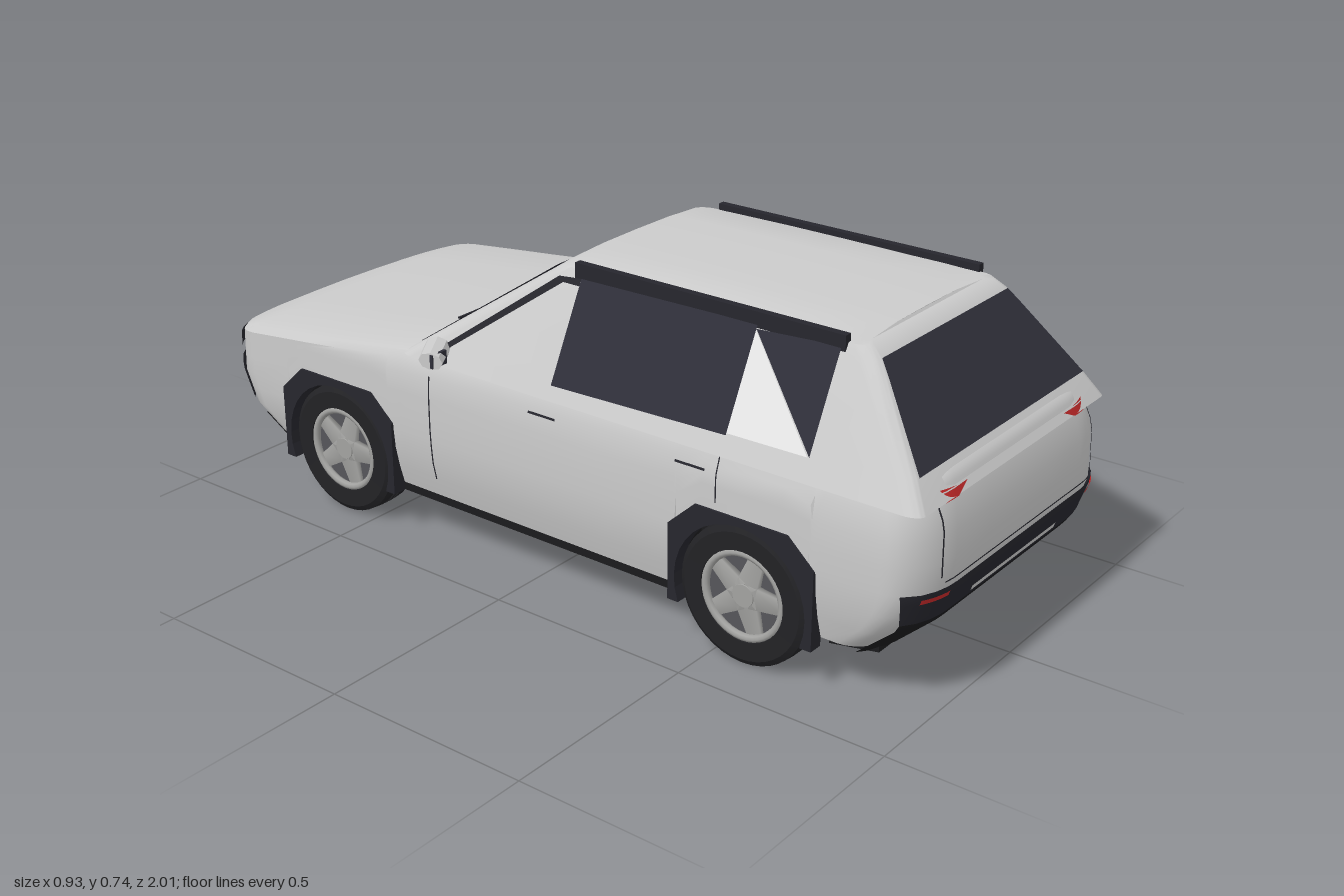
import * as THREE from 'three';
import { toCreasedNormals } from 'three/addons/utils/BufferGeometryUtils.js';

const mat = (name, color) => new THREE.MeshStandardMaterial({ name, color, side: THREE.DoubleSide });
const M = {
  paint: mat('silver paint', 0xcbcbcb), glass: mat('dark glass', 0x2f2f39), trim: mat('black trim', 0x26262d),
  under: mat('underbody black', 0x1b1b1d), tyre: mat('tyre rubber', 0x222225), rim: mat('rim grey', 0xa2a2a0),
  well: mat('rim shadow grey', 0x55555a), red: mat('red lamp', 0xc62a2a), lamp: mat('white lamp', 0xe6e6e6),
};
const lerp = THREE.MathUtils.lerp;

// Piecewise linear lookup; column c of rows sorted by their first entry
function look(rows, v, c) {
  let i = 0;
  while (i < rows.length - 2 && v > rows[i + 1][0]) i++;
  const a = rows[i], b = rows[i + 1];
  return lerp(a[c], b[c], THREE.MathUtils.clamp((v - a[0]) / (b[0] - a[0]), 0, 1));
}

// Rows: height, half width, front z, rear z. Corners are ellipses.
const LOWER = {
  rows: [[.10, .365, -.87, .87], [.20, .393, -.975, .975], [.28, .4, -1, 1], [.42, .4, -.995, .995], [.5, .373, -.98, .965]],
  rx: [.2, .14], rz: [.12, .09],
};
const CABIN = {
  rows: [[.46, .392, -.386, .985], [.52, .362, -.3, .945], [.7, .272, -.04, .8], [.725, .258, -.005, .765]],
  rx: [.025, .025], rz: [.04, .04],
};
const ARCHES = [.58, -.59];
const SIDE_Z = [.77, .75, .745, .68, .58, .48, .415, .41, .2, 0, -.2, -.3, -.38, -.42, -.425, -.49, -.59, -.69, -.755, -.76];

// Plan outline at height y, anticlockwise from the rear centre
function outline(S, y, sideZ) {
  const [W, zf, zr] = [1, 2, 3].map(c => look(S.rows, y, c));
  const half = [[0, zr], [(W - S.rx[1]) * .5, zr]];
  for (let i = 0; i <= 8; i++) {
    const a = i / 8 * Math.PI / 2;
    half.push([W - S.rx[1] + S.rx[1] * Math.sin(a), zr - S.rz[1] * (1 - Math.cos(a))]);
  }
  sideZ.forEach(z => half.push([W, z]));
  for (let i = 0; i <= 8; i++) {
    const a = i / 8 * Math.PI / 2;
    half.push([W - S.rx[0] + S.rx[0] * Math.cos(a), zf + S.rz[0] * (1 - Math.sin(a))]);
  }
  half.push([(W - S.rx[0]) * .5, zf], [0, zf]);
  return half.concat(half.slice(1, -1).reverse().map(([x, z]) => [-x, z]));
}

// Skin over closed rings of [x, y, z]
function loft(rings) {
  const n = rings[0].length, idx = [];
  for (let i = 0; i < rings.length - 1; i++) for (let j = 0; j < n; j++) {
    const a = i * n + j, b = i * n + (j + 1) % n;
    idx.push(a, b, b + n, a, b + n, a + n);
  }
  const g = new THREE.BufferGeometry();
  g.setAttribute('position', new THREE.Float32BufferAttribute(rings.flat(2), 3));
  g.setIndex(idx);
  return toCreasedNormals(g, .6);
}

// Surface points, lifted slightly off the skin
const sideAt = (S, s) => (z, y) => [s * (look(S.rows, y, 1) + .004), y, z];
const endAt = (S, e) => (x, y) => { // e = 0 front, 1 rear
  const W = look(S.rows, y, 1), dir = e ? 1 : -1;
  const u = Math.min(1, Math.max(0, (Math.abs(x) - W + S.rx[e]) / S.rx[e]));
  const z = look(S.rows, y, 2 + e) - dir * S.rz[e] * (1 - Math.sqrt(1 - u * u));
  return [x * 1.012, y, z + dir * .005];
};

// Thin four-cornered panel laid on a surface
function panelGeometry([p, q, r, s], at) {
  const g = new THREE.PlaneGeometry(1, 1, 24, 6), pos = g.attributes.position, uv = g.attributes.uv;
  for (let i = 0; i < pos.count; i++) {
    const u = uv.getX(i), v = uv.getY(i);
    const c = k => lerp(lerp(p[k], q[k], u), lerp(s[k], r[k], u), v);
    pos.setXYZ(i, ...at(c(0), c(1)));
  }
  g.computeVertexNormals();
  return g;
}

function makeWheel() {
  const w = new THREE.Group();
  const part = (name, geo, m, y = 0) => {
    const o = new THREE.Mesh(geo, m); o.name = name; o.position.y = y; w.add(o); return o;
  };
  const prof = [[.1, -.045], [.145, -.047], [.158, -.038], [.16, -.012], [.152, -.01], [.152, -.005], [.16, -.003],
    [.16, .003], [.152, .005], [.152, .01], [.16, .012], [.158, .038], [.145, .047], [.104, .045], [.1, .03]];
  part('tyre', toCreasedNormals(new THREE.LatheGeometry(prof.map(p => new THREE.Vector2(...p)), 40), .5), M.tyre);
  part('rimBack', new THREE.CylinderGeometry(.102, .102, .05, 32), M.well, -.004);
  part('rimInner', new THREE.CylinderGeometry(.095, .095, .006, 32), M.lamp, -.034);
  part('rimRing', new THREE.TorusGeometry(.097, .009, 8, 40).rotateX(Math.PI / 2), M.rim, .036);
  part('hub', new THREE.CylinderGeometry(.026, .03, .02, 20), M.rim, .03);
  for (let i = 0; i < 5; i++) {
    const g = new THREE.CylinderGeometry(.024, .038, .085, 4, 1).rotateY(Math.PI / 4).scale(1, 1, .3)
      .rotateX(Math.PI / 2).translate(0, 0, .056);
    part('spoke', g, M.rim, .03).rotation.y = i * Math.PI * 2 / 5;
  }
  return w;
}

export function createModel() {
  const car = new THREE.Group();
  car.name = 'car';
  const add = (name, geo, m) => { const o = new THREE.Mesh(geo, m); o.name = name; car.add(o); return o; };
  const box = (name, w, h, d, x, y, z, m) => add(name, new THREE.BoxGeometry(w, h, d).translate(x, y, z), m);
  const panel = (name, m, pts, at) => add(name, panelGeometry(pts, at), m);
  const rect = (a, b, c, d) => [[a, b], [c, b], [c, d], [a, d]];

  // Lower body with wheel openings and bonnet
  const bottom = z => {
    const d = Math.min(...ARCHES.map(c => Math.abs(z - c)));
    return d < .167 ? look([[.1, .325], [.165, .25]], d, 1) : .12;
  };
  const top = z => look([[-1, .385], [-.92, .408], [-.6, .443], [-.38, .472], [-.1, .485], [1, .505]], z, 1);
  const nominal = outline(LOWER, .3, SIDE_Z);
  const ring = (t, sx = 1, sz = 1, lift = 0) => nominal.map(([, z], k) => {
    const y = lerp(bottom(z), top(z) - .02, t);
    const [px, pz] = outline(LOWER, y, SIDE_Z)[k];
    return [px * sx, y + lift, pz * sz];
  });
  add('lowerBody', loft([...[0, .15, .3, .45, .6, .75, .9, 1].map(t => ring(t)),
    ring(1, .975, .992, .014), ring(1, .9, .978, .023), ring(1, .5, .97, .029), ring(1, 0, .97, .03)]), M.paint);

  // Cabin and roof
  const cabinZ = [.7, .55, .4, .25, .1];
  const level = (y, sx = 1, sz = 1, lift = 0) => outline(CABIN, y, cabinZ)
    .map(([x, z]) => [x * sx, y + lift - (lift ? .04 * (z - .3) ** 2 : 0), z * sz]);
  add('cabin', loft([level(.46), level(.52), level(.61), level(.7), level(.72), level(.725, .93, .99, .005),
    level(.725, .5, .985, .01), level(.725, 0, .985, .011)]), M.paint);

  // Underbody, notched around the wheels
  const plan = [[.3, -.87], [.34, -.77], [.29, -.765], [.29, -.41], [.37, -.41], [.37, .4], [.29, .4], [.29, .755], [.35, .77], [.32, .87]];
  const floor = new THREE.Shape([...plan, ...plan.map(([x, z]) => [-x, z]).reverse()].map(p => new THREE.Vector2(...p)));
  add('underbody', new THREE.ExtrudeGeometry(floor, { depth: .23, bevelEnabled: false }).rotateX(Math.PI / 2).translate(0, .33, 0), M.under);
  box('wheelWellRoof', .76, .005, 1.66, 0, .335, 0, M.under);

  // Front and rear glass
  panel('windscreen', M.glass, [[-.335, .476], [.335, .476], [.243, .712], [-.243, .712]], endAt(CABIN, 0));
  panel('rearWindow', M.glass, [[-.335, .52], [.335, .52], [.248, .702], [-.248, .702]], endAt(CABIN, 1));
  box('bonnetGap', .38, .004, .006, 0, .484, -.385, M.trim);

  // Rear bumper and tailgate
  const rear = endAt(LOWER, 1), front = endAt(LOWER, 0);
  panel('rearBumper', M.trim, [[-.37, .21], [.37, .21], [.388, .285], [-.388, .285]], rear);
  panel('rearValance', M.under, [[-.345, .1], [.345, .1], [.37, .21], [-.37, .21]], rear);
  const outer = at => (x, y) => { const p = at(x, y); p[2] += Math.sign(p[2]) * .003; return p; };
  panel('bumperStrip', M.paint, rect(-.175, .222, .175, .234), outer(rear));
  panel('tailgateSeam', M.trim, rect(-.3, .296, .3, .299), rear);

  // Nose
  panel('grille', M.trim, [[-.23, .19], [.23, .19], [.26, .305], [-.26, .305]], front);
  panel('frontValance', M.under, [[-.345, .1], [.345, .1], [.365, .17], [-.365, .17]], front);

  for (const s of [1, -1]) {
    const m = pts => pts.map(([x, y]) => [s * x, y]);
    // Rear lamps and seams
    panel('tailLampUpper', M.red, m([[.24, .478], [.375, .475], [.368, .493], [.345, .487]]), rear);
    panel('tailLampLower', M.red, m([[.24, .458], [.375, .456], [.375, .473], [.2, .476]]), rear);
    panel('rearReflector', M.red, m(rect(.285, .263, .355, .274)), outer(rear));
    panel('tailgateSideSeam', M.trim, m([[.308, .31], [.312, .31], [.308, .455], [.304, .455]]), rear);
    // Headlamps and intakes
    panel('headlamp', M.trim, m([[.08, .345], [.375, .338], [.38, .375], [.08, .362]]), front);
    panel('headlampBar', M.lamp, m(rect(.12, .352, .34, .357)), outer(front));
    panel('sideIntake', M.trim, m([[.3, .2], [.365, .2], [.378, .31], [.285, .31]]), front);
    panel('sideIntakeLamp', M.lamp, m(rect(.315, .225, .352, .238)), outer(front));

    // Side windows
    const glassSide = sideAt(CABIN, s), bodySide = sideAt(LOWER, s);
    if (s > 0) panel('frontSideWindow', M.glass, [[-.29, .482], [.06, .492], [.06, .705], [0, .7]], glassSide);
    else {
      panel('windowFrameTop', M.trim, [[-.29, .482], [-.27, .482], [.015, .69], [0, .7]], glassSide);
      panel('windowFrameRoof', M.trim, [[0, .69], [.06, .69], [.06, .705], [0, .7]], glassSide);
    }
    panel('rearSideWindow', M.glass, [[.06, .492], [.52, .502], [.52, .71], [.06, .705]], glassSide);
    panel('quarterWindow', M.glass, [[.72, .508], [.72, .508], [.72, .712], [.52, .702]], glassSide);
    panel('quarterWindowFill', M.lamp, [[.52, .506], [.715, .508], [.52, .7], [.52, .7]], glassSide);

    // Door seams and handles
    panel('doorSeam', M.trim, rect(-.287, .17, -.283, .43), bodySide);
    panel('rearDoorSeam', M.trim, rect(.516, .36, .519, .46), bodySide);
    for (const z of [.05, .45]) panel('doorHandle', M.trim, rect(z - .038, .423, z + .038, .428), bodySide);

    // Roof rail
    box('roofRail', .018, .035, .69, s * .262, .72, .385, M.trim);

    // Door mirror
    box('mirrorArm', .06, .02, .035, s * .385, .492, -.26, M.paint);
    const shell = new THREE.CylinderGeometry(.02, .021, .09, 8).rotateX(Math.PI / 8).rotateZ(Math.PI / 2).scale(1, 1, 1.6);
    add('mirrorShell', toCreasedNormals(shell, .5).translate(s * .415, .5, -.25), M.paint);
    box('mirrorGlass', .046, .032, .008, s * .435, .5, -.219, M.glass);

    // Wheels and arch cladding
    for (const z of ARCHES) {
      const wheel = makeWheel();
      wheel.name = z < 0 ? 'frontWheel' : 'rearWheel';
      wheel.rotation.z = -s * Math.PI / 2;
      wheel.position.set(s * .349, .16, z);
      car.add(wheel);
      const pts = [[-.154, .1], [-.182, .1], [-.182, .28], [-.115, .342], [.115, .342], [.182, .28], [.182, .1], [.154, .1]];
      for (let i = 0; i <= 20; i++) {
        const a = lerp(-.36, Math.PI + .36, i / 20);
        pts.push([.165 * Math.cos(a), .16 + .165 * Math.sin(a)]);
      }
      const arch = new THREE.ExtrudeGeometry(new THREE.Shape(pts.map(p => new THREE.Vector2(...p))), { depth: .035, bevelEnabled: false });
      add('archCladding', arch.rotateY(-Math.PI / 2).translate(s > 0 ? .406 : -.371, 0, z), M.trim);
    }
  }
  return car;
}
